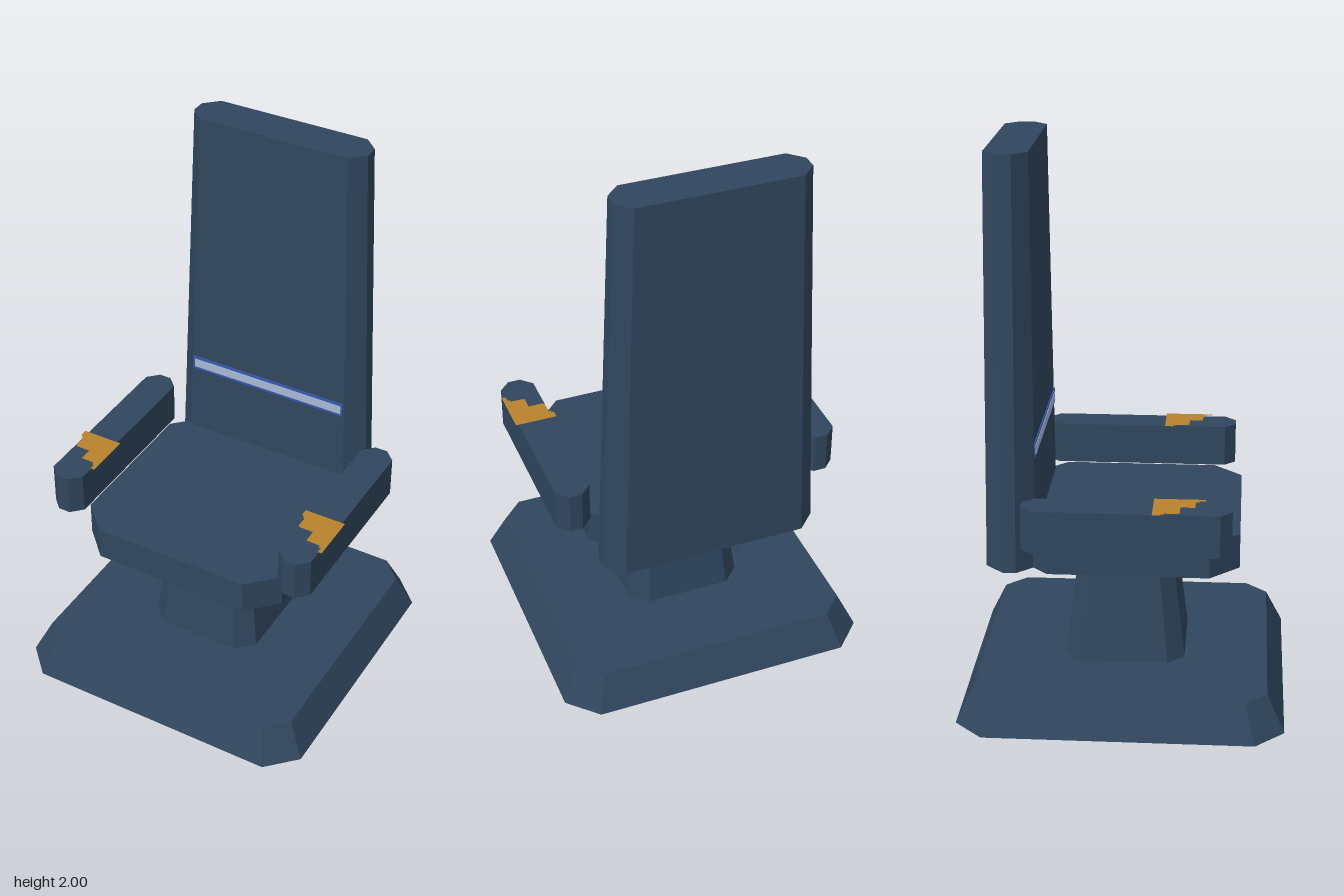
import * as THREE from 'three';

const mat = (name, color, side = THREE.FrontSide) => {
  const m = new THREE.MeshStandardMaterial({ color, side });
  m.name = name;
  return m;
};

// Rectangle with cut corners, counter-clockwise seen from above
function ring({ y, x = 0, z = 0, w, d, c }) {
  return [
    [w - c, d], [w, d - c], [w, c - d], [w - c, -d],
    [c - w, -d], [-w, c - d], [-w, d - c], [c - w, d],
  ].map(([px, pz]) => [x + px, y, z + pz]);
}

// Flat-faced tapering block between two cut-corner rectangles
function block(name, bottom, top, material) {
  const a = ring(bottom), b = ring(top), pos = [];
  for (let i = 0; i < 8; i++) {
    const j = (i + 1) % 8;
    pos.push(...a[i], ...a[j], ...b[j], ...a[i], ...b[j], ...b[i]);
    if (i > 0 && i < 7) {
      pos.push(...b[0], ...b[i], ...b[j]);
      pos.push(...a[0], ...a[j], ...a[i]);
    }
  }
  const g = new THREE.BufferGeometry();
  g.setAttribute('position', new THREE.Float32BufferAttribute(pos, 3));
  g.computeVertexNormals();
  const mesh = new THREE.Mesh(g, material);
  mesh.name = name;
  return mesh;
}

export function createModel() {
  const body = mat('slate blue', 0x30465e);
  const gold = mat('amber', 0xb9822c, THREE.DoubleSide);
  const trim = mat('bright blue', 0x3558b4);
  const pale = mat('pale blue', 0xa9b9d4);
  const model = new THREE.Group();
  model.name = 'chair';

  // Foot, pedestal, seat and backrest
  model.add(
    block('base', { y: 0, w: 0.58, d: 0.58, c: 0.103 },
      { y: 0.13, w: 0.518, d: 0.518, c: 0.078 }, body),
    block('pedestal', { y: 0.13, w: 0.217, d: 0.217, c: 0.06 },
      { y: 0.547, w: 0.167, d: 0.167, c: 0.05 }, body),
    block('seat', { y: 0.547, z: 0.026, w: 0.4, d: 0.386, c: 0.104 },
      { y: 0.673, z: 0.026, w: 0.4, d: 0.386, c: 0.104 }, body),
    block('backrest', { y: 0.547, z: -0.388, w: 0.4, d: 0.088, c: 0.065 },
      { y: 2, z: -0.387, w: 0.335, d: 0.076, c: 0.05 }, body),
  );

  // Thin light strip across the backrest
  const strip = new THREE.Group();
  strip.name = 'backrestStrip';
  const border = new THREE.Mesh(new THREE.BoxGeometry(0.63, 0.054, 0.004), trim);
  border.name = 'stripBorder';
  const core = new THREE.Mesh(new THREE.BoxGeometry(0.616, 0.034, 0.004), pale);
  core.name = 'stripCore';
  core.position.z = 0.002;
  strip.add(border, core);
  strip.position.set(0, 0.973, -0.301);
  model.add(strip);

  // Stepped panel outline in x and z, measured from the plate centre
  const outline = [
    [-0.077, -0.09], [0.077, -0.09], [0.077, 0.088], [0.062, 0.088], [0.062, 0.065],
    [0.053, 0.065], [0.053, 0.055], [0, 0.053], [0, 0.003], [-0.052, 0.003],
    [-0.06, -0.003], [-0.06, -0.05], [-0.069, -0.05], [-0.069, -0.06], [-0.077, -0.06],
  ];
  const panelShape = new THREE.Shape(outline.map(([x, z]) => new THREE.Vector2(x, -z)));
  const panelGeo = new THREE.ShapeGeometry(panelShape).rotateX(-Math.PI / 2);

  // Armrests, each with a control panel on top
  for (const [side, s] of [['left', 1], ['right', -1]]) {
    const arm = { x: s * 0.465, z: 0.025, w: 0.063, d: 0.36, c: 0.04 };
    model.add(block(side + 'Armrest', { ...arm, y: 0.675 }, { ...arm, y: 0.828 }, body));
    const panel = new THREE.Mesh(panelGeo, gold);
    panel.name = side + 'ControlPanel';
    panel.position.set(s * 0.4635, 0.832, 0.205);
    model.add(panel);
  }
  return model;
}
